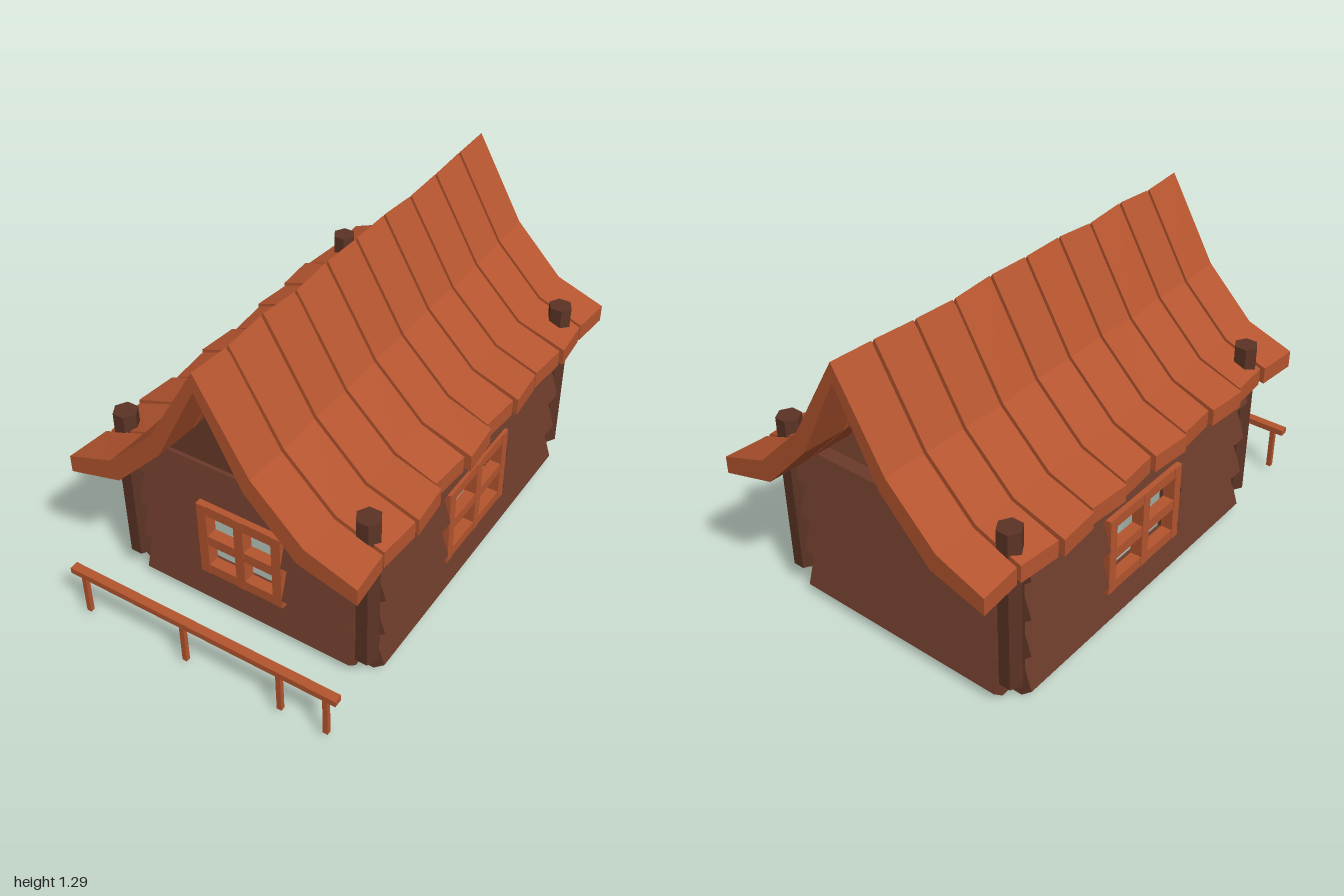
import * as THREE from 'three';

const mat = (color) => new THREE.MeshStandardMaterial({ color, flatShading: true, side: THREE.DoubleSide });
const orange = mat(0xb5552f);
const logBrown = mat(0x6b3b2a);
const postBrown = mat(0x5c3425);

const ROW = 0.166; // height of one log course

function add(parent, name, geometry, material, x = 0, y = 0, z = 0) {
  const mesh = new THREE.Mesh(geometry, material);
  mesh.name = name;
  mesh.position.set(x, y, z);
  parent.add(mesh);
  return mesh;
}

function extrude(points, depth) {
  const shape = new THREE.Shape(points.map(([x, y]) => new THREE.Vector2(x, y)));
  return new THREE.ExtrudeGeometry(shape, { depth, bevelEnabled: false });
}

// Wall in a local frame: outward is +x, length runs along z from a to b.
// win = [from, to] cuts the two middle courses and receives a window frame.
function makeWall(name, angle, outer, a, b, win) {
  const wall = new THREE.Group();
  wall.name = name;
  wall.rotation.y = angle;
  const o = outer;
  for (let i = 0; i < 4; i++) {
    const profile = [[o - 0.095, 0], [o - 0.045, 0], [o, 0.042], [o - 0.04, ROW], [o - 0.095, ROW]];
    const spans = win && (i === 1 || i === 2) ? [[a, win[0]], [win[1], b]] : [[a, b]];
    for (const [s, e] of spans) add(wall, 'log', extrude(profile, e - s), logBrown, 0, i * ROW, s);
  }
  if (win) wall.add(makeWindow(o - 0.03, win));
  return wall;
}

// Frame with four open panes
function makeWindow(x, [s, e]) {
  const frame = new THREE.Group();
  frame.name = 'windowFrame';
  const y0 = 0.165, y1 = 0.5, t = 0.044, d = 0.05;
  const mid = (s + e) / 2, h = y1 - y0;
  for (const z of [s + t / 2, mid, e - t / 2]) {
    add(frame, 'windowUpright', new THREE.BoxGeometry(d, h, t - 0.004), orange, x, y0 + h / 2, z);
  }
  for (const y of [y0 + t / 2, 0.332, y1 - t / 2]) {
    add(frame, 'windowCrossbar', new THREE.BoxGeometry(d - 0.004, t, e - s), orange, x, y, mid);
  }
  return frame;
}

// Full roof outline from one half: top points out from the ridge, underside back
function roofOutline(top, under) {
  const flip = (pts) => pts.slice(1).map(([x, y]) => [-x, y]);
  return [...flip(top).reverse(), ...top, ...[...under].reverse(), ...flip(under)];
}

function makeRoof() {
  const roof = new THREE.Group();
  roof.name = 'roof';
  const outline = roofOutline(
    [[0, 1.28], [0.2, 0.94], [0.4, 0.742], [0.6, 0.672]],
    [[0, 1.205], [0.17, 0.872], [0.37, 0.665], [0.6, 0.602]]);
  // Reach of each strip to the left and right ends, and its ridge offset at back and front
  const reachMinus = [0.585, 0.59, 0.605, 0.59, 0.575, 0.588, 0.575, 0.59, 0.575, 0.588];
  const reachPlus = [0.595, 0.595, 0.582, 0.585, 0.57, 0.592, 0.57, 0.598, 0.592, 0.594];
  const ridge = [0.01, 0.004, -0.006, -0.012, 0, -0.004, 0, -0.014, 0, -0.012, 0];
  const pitch = 0.1895, depth = 0.176;
  for (let i = 0; i < 10; i++) {
    const geo = extrude(outline, depth);
    const p = geo.attributes.position;
    for (let k = 0; k < p.count; k++) {
      const x = p.getX(k), f = p.getZ(k) / depth;
      if (Math.abs(x) > 0.5) {
        const taper = (i % 2 ? -1 : 1) * (f - 0.5) * 0.014;
        p.setX(k, x < 0 ? -reachMinus[i] + taper : reachPlus[i] - taper);
      }
      p.setY(k, p.getY(k) + (ridge[i] * (1 - f) + ridge[i + 1] * f) * (1 - Math.abs(x) / 0.7));
    }
    geo.computeVertexNormals();
    add(roof, 'roofStrip', geo, orange, 0, 0, -1 + i * pitch);
  }
  // Recessed layer closing the gaps between strips
  const core = roofOutline(
    [[0, 1.245], [0.19, 0.915], [0.39, 0.715], [0.56, 0.655]],
    [[0, 1.23], [0.18, 0.895], [0.38, 0.69], [0.56, 0.635]]);
  add(roof, 'roofUnderlay', extrude(core, 1.82), orange, 0, 0, -0.97);
  return roof;
}

export function createModel() {
  const model = new THREE.Group();
  model.name = 'logCabin';

  // Log walls
  model.add(makeWall('leftWall', 0, 0.56, -0.73, 0.63, [-0.278, 0.175]));
  model.add(makeWall('rightWall', Math.PI, 0.56, -0.63, 0.73, [-0.175, 0.278]));
  model.add(makeWall('frontWall', -Math.PI / 2, 0.7, -0.455, 0.465, [-0.168, 0.2]));
  model.add(makeWall('backWall', Math.PI / 2, 0.82, -0.465, 0.455));

  // Front gable, with a slit left open beside the roof on one side
  const gable = [[-0.45, 0.62], [0.45, 0.62], [0.37, 0.67], [0.2, 0.85], [0.14, 0.92], [0, 1.205],
    [-0.17, 0.875], [-0.37, 0.668]];
  add(model, 'frontGable', extrude(gable, 0.02), logBrown, 0, 0, 0.625);

  // Hexagonal corner posts
  for (const x of [-0.51, 0.51]) {
    for (const z of [0.667, -0.775]) {
      const geo = new THREE.CylinderGeometry(0.048, 0.048, 0.67, 6, 1, false, Math.PI / 6);
      add(model, 'cornerPost', geo, postBrown, x, 0.437, z);
    }
  }

  model.add(makeRoof());

  // Free-standing rail in front
  const rail = new THREE.Group();
  rail.name = 'frontRail';
  rail.position.set(0.01, 0, 0.975);
  rail.rotation.y = 0.008;
  add(rail, 'railBar', new THREE.BoxGeometry(1.15, 0.025, 0.036), orange, 0, 0.218, 0);
  for (const x of [-0.525, -0.075, 0.337, 0.527]) {
    add(rail, 'railPost', new THREE.BoxGeometry(0.02, 0.185, 0.018), orange, x, 0.116, 0);
  }
  model.add(rail);

  return model;
}
